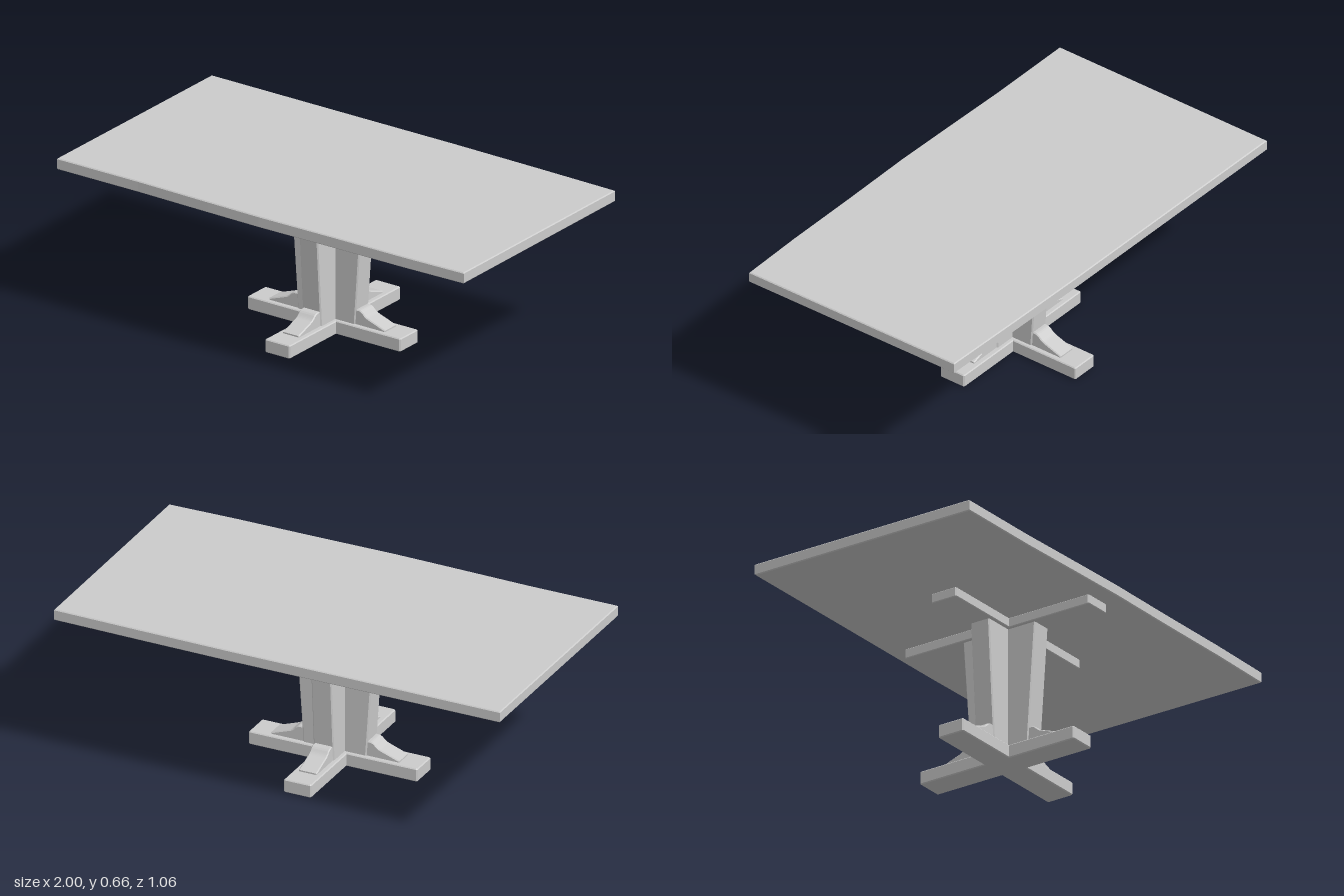
import * as THREE from 'three';

const material = new THREE.MeshStandardMaterial({ color: 0xcccccc });

// Slab from a plan outline of [x, z] points, with small bevelled rims.
function slab(name, outline, y0, y1, bevel) {
  const shape = new THREE.Shape(outline.map(([x, z]) => new THREE.Vector2(x, -z)));
  const geometry = new THREE.ExtrudeGeometry(shape, {
    depth: y1 - y0 - 2 * bevel, bevelEnabled: bevel > 0, bevelSegments: 1,
    bevelSize: bevel, bevelThickness: bevel, bevelOffset: -bevel,
  });
  geometry.rotateX(-Math.PI / 2).translate(0, y0 + bevel, 0);
  const mesh = new THREE.Mesh(geometry, material);
  mesh.name = name;
  return mesh;
}

// Plus-shaped outline: arm lengths along x and z, half width, chamfered arm ends.
function plus(armX, armZ, half, c) {
  const points = [];
  for (let i = 0; i < 4; i++) {
    const arm = i % 2 ? armZ : armX;
    const a = -i * Math.PI / 2, cos = Math.cos(a), sin = Math.sin(a);
    for (const [u, v] of [[half, half], [arm - c, half], [arm, half - c],
      [arm, c - half], [arm - c, -half]]) {
      points.push([u * cos - v * sin, u * sin + v * cos]);
    }
  }
  return points;
}

export function createModel() {
  const table = new THREE.Group();
  table.name = 'pedestalTable';

  // Top board, its long edges slightly bowed
  table.add(slab('tableTop', [
    [-0.998, 0.517], [-0.6, 0.516], [-0.25, 0.523], [0, 0.527], [0.35, 0.523],
    [0.7, 0.522], [0.997, 0.515], [0.991, -0.519], [0.6, -0.526], [0.2, -0.531],
    [-0.4, -0.531], [-0.998, -0.532],
  ], 0.612, 0.66, 0.004));

  const pedestal = new THREE.Group();
  pedestal.name = 'pedestal';
  pedestal.position.set(-0.022, 0, -0.005);
  table.add(pedestal);

  // Crossed bearers under the top and crossed feet on the floor
  pedestal.add(slab('topBearers', plus(0.423, 0.45, 0.061, 0.005), 0.572, 0.613, 0.003));
  pedestal.add(slab('crossFeet', plus(0.375, 0.376, 0.061, 0.005), 0, 0.057, 0.004));

  // Plus-shaped column whose wings widen upward
  const column = slab('column', plus(0.14, 0.14, 0.045, 0.005), 0.055, 0.574, 0);
  const p = column.geometry.attributes.position;
  for (let i = 0; i < p.count; i++) {
    const spread = 0.036 * (p.getY(i) - 0.055) / 0.519;
    const x = p.getX(i), z = p.getZ(i);
    if (Math.abs(x) > 0.1) p.setX(i, x + Math.sign(x) * spread);
    if (Math.abs(z) > 0.1) p.setZ(i, z + Math.sign(z) * spread);
  }
  column.geometry.computeVertexNormals();
  pedestal.add(column);

  // Sloping braces between the column wings and the feet
  const profile = new THREE.Shape();
  profile.moveTo(0.12, 0.05);
  profile.lineTo(0.285, 0.05);
  profile.lineTo(0.285, 0.063);
  profile.lineTo(0.2, 0.093);
  profile.quadraticCurveTo(0.19, 0.097, 0.182, 0.105);
  profile.quadraticCurveTo(0.169, 0.12, 0.155, 0.12);
  profile.lineTo(0.12, 0.12);
  const braceGeometry = new THREE.ExtrudeGeometry(profile, {
    depth: 0.072, curveSegments: 4, bevelSegments: 1,
    bevelSize: 0.004, bevelThickness: 0.004, bevelOffset: -0.004,
  }).translate(0, 0, -0.036);
  for (let i = 0; i < 4; i++) {
    const brace = new THREE.Mesh(braceGeometry, material);
    brace.name = 'footBrace';
    brace.rotation.y = i * Math.PI / 2;
    pedestal.add(brace);
  }

  return table;
}
